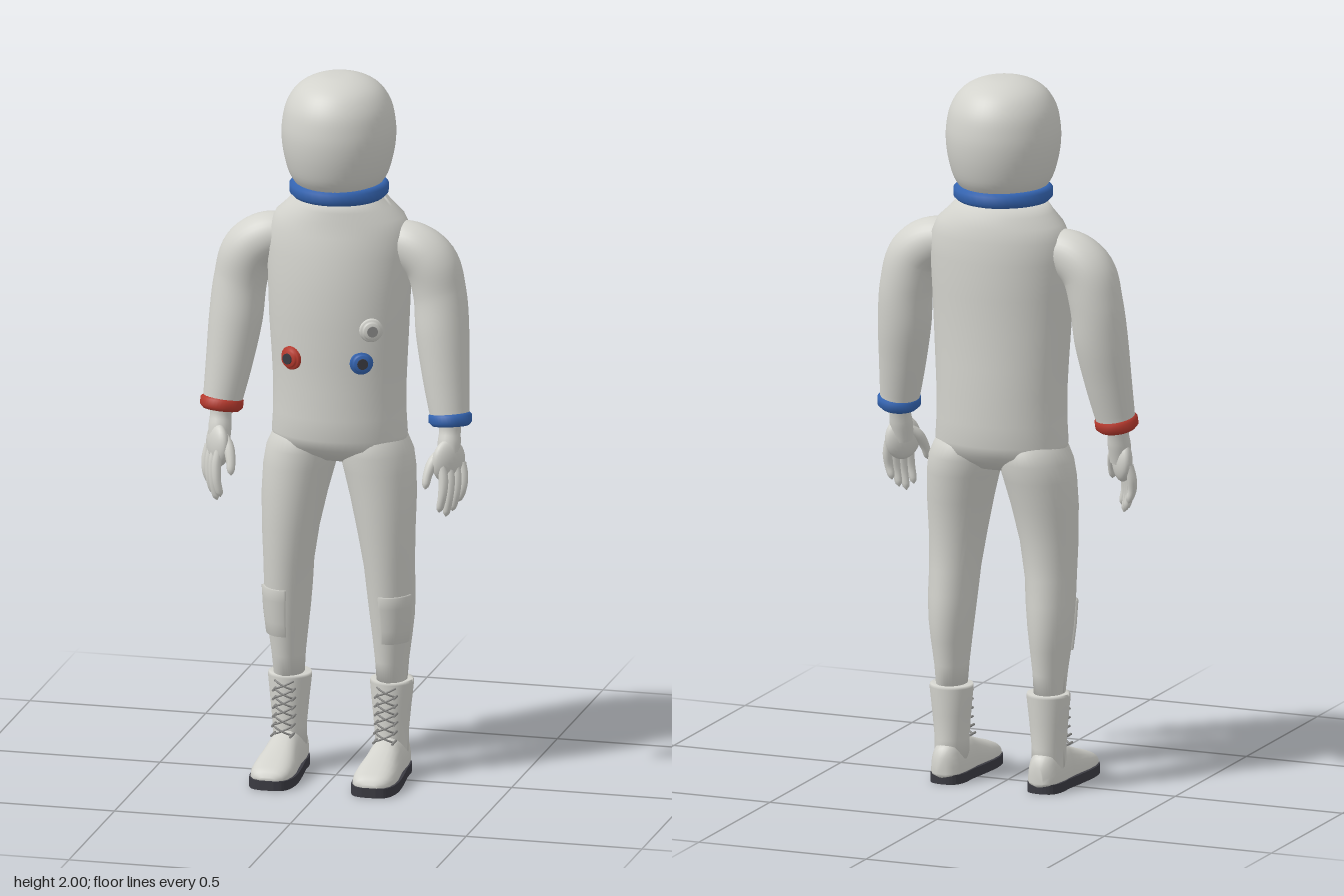
import * as THREE from 'three';
import { mergeVertices, mergeGeometries } from 'three/addons/utils/BufferGeometryUtils.js';

const V = (x, y, z) => new THREE.Vector3(x, y, z);
const mat = (name, color) => Object.assign(new THREE.MeshStandardMaterial({ color }), { name });

// Drop seams and compute smooth normals
function smooth(geo) {
  geo.deleteAttribute('uv');
  geo.deleteAttribute('normal');
  const g = mergeVertices(geo, 1e-5);
  g.computeVertexNormals();
  return g;
}

// Skin between rings of points; closed rings get end caps
function loft(rings, closed = true) {
  const n = rings[0].length, pts = rings.flat(), idx = [];
  for (let i = 0; i < rings.length - 1; i++) {
    for (let j = 0; j < (closed ? n : n - 1); j++) {
      const a = i * n + j, b = i * n + (j + 1) % n;
      idx.push(a, a + n, b, b, a + n, b + n);
    }
  }
  if (closed) {
    const last = (rings.length - 1) * n;
    for (let j = 1; j < n - 1; j++) idx.push(0, j, j + 1, last, last + j + 1, last + j);
  }
  const g = new THREE.BufferGeometry().setFromPoints(pts);
  g.setIndex(idx);
  g.computeVertexNormals();
  return g;
}

// Oval body section: [y, centre x, half width, front z, back z]
const ovalPoint = ([y, cx, hx, zf, zb], a, off = 0) =>
  V(cx + (hx + off) * Math.cos(a), y, (zf + zb) / 2 + ((zf - zb) / 2 + off) * Math.sin(a));
const oval = (s, n = 40) => Array.from({ length: n }, (_, j) => ovalPoint(s, (j / n) * Math.PI * 2));

// Tube of changing radius through [x, y, z, radius] stations
function limb(stations, segs = 30, sides = 20) {
  const curve = new THREE.CatmullRomCurve3(stations.map(s => V(s[0], s[1], s[2])));
  const radii = new THREE.CatmullRomCurve3(stations.map((s, i) => V(s[3], i, 0)));
  const g = new THREE.TubeGeometry(curve, segs, 1, sides);
  const p = g.attributes.position, nrm = g.attributes.normal;
  for (let i = 0; i <= segs; i++) {
    const c = curve.getPointAt(i / segs);
    const r = Math.max(0.001, radii.getPoint(curve.getUtoTmapping(i / segs)).x);
    for (let j = 0; j <= sides; j++) {
      const k = i * (sides + 1) + j;
      p.setXYZ(k, c.x + nrm.getX(k) * r, c.y + nrm.getY(k) * r, c.z + nrm.getZ(k) * r);
    }
  }
  return smooth(g);
}

// Rounded band around the y axis
function band(inner, outer, h) {
  const b = h * 0.25, m = h / 2;
  return new THREE.LatheGeometry([[inner, -m], [outer - b, -m], [outer, -m + b], [outer, m - b], [outer - b, m], [inner, m]]
    .map(([r, y]) => new THREE.Vector2(r, y)), 40);
}

function mirror(geo) {
  const g = geo.index ? geo.clone() : mergeVertices(geo);
  g.scale(-1, 1, 1);
  const ix = g.index;
  for (let i = 0; i < ix.count; i += 3) {
    const t = ix.getX(i);
    ix.setX(i, ix.getX(i + 1));
    ix.setX(i + 1, t);
  }
  return g;
}

export function createModel() {
  const model = new THREE.Group();
  model.name = 'astronaut';
  const suit = mat('suitWhite', 0xd3d3cd), blue = mat('blue', 0x3566b4), red = mat('red', 0xb83a2e);
  const sole = mat('soleDark', 0x3b3b42), grey = mat('grey', 0x8c8c8a);
  const patchMat = mat('patchWhite', 0xcfcfc9);
  patchMat.side = THREE.DoubleSide;

  const add = (name, geo, m) => {
    const mesh = new THREE.Mesh(geo, m);
    mesh.name = name;
    model.add(mesh);
    return mesh;
  };
  const pair = (name, geo, m, mRight = m) => {
    add(name + 'Left', geo, m);
    add(name + 'Right', mirror(geo), mRight);
  };

  // Helmet and neck ring
  const dome = new THREE.SplineCurve([[0.112, 1.685], [0.135, 1.72], [0.15, 1.77], [0.157, 1.82], [0.156, 1.865],
    [0.146, 1.915], [0.122, 1.957], [0.088, 1.983], [0.045, 1.997], [0, 2]].map(p => new THREE.Vector2(...p)));
  const helmet = new THREE.LatheGeometry(dome.getPoints(36).map(p => p.setX(Math.max(0, p.x))), 48);
  add('helmet', helmet.scale(1, 1, 1.07).translate(0, 0, -0.033), suit);
  add('neckRing', band(0.09, 0.137, 0.045).translate(0, 1.677, -0.035), blue);

  // Torso
  add('torso', loft([
    [0.905, 0, 0.1, 0.02, -0.12], [0.93, 0, 0.165, 0.062, -0.155], [0.95, 0, 0.187, 0.085, -0.175],
    [0.98, 0, 0.19, 0.098, -0.185], [1.04, 0, 0.186, 0.1, -0.187], [1.12, 0, 0.186, 0.1, -0.188],
    [1.2, 0, 0.19, 0.103, -0.188], [1.3, 0, 0.196, 0.108, -0.186], [1.4, 0, 0.2, 0.108, -0.19],
    [1.5, 0, 0.204, 0.1, -0.192], [1.56, 0, 0.2, 0.088, -0.188], [1.6, 0, 0.18, 0.081, -0.182],
    [1.63, 0, 0.148, 0.077, -0.172], [1.66, 0, 0.122, 0.07, -0.16]].map(s => oval(s, 56))), suit);

  // Legs
  const legs = [
    [0.26, 0.146, 0.041, 0, -0.105], [0.33, 0.147, 0.046, 0.012, -0.112], [0.4, 0.148, 0.054, 0.025, -0.124],
    [0.46, 0.148, 0.061, 0.033, -0.13], [0.53, 0.146, 0.066, 0.042, -0.129], [0.6, 0.143, 0.069, 0.05, -0.122],
    [0.7, 0.136, 0.079, 0.06, -0.122], [0.8, 0.126, 0.091, 0.066, -0.14], [0.88, 0.114, 0.1, 0.068, -0.156],
    [0.93, 0.103, 0.103, 0.07, -0.165], [0.97, 0.096, 0.092, 0.065, -0.16], [1.01, 0.09, 0.07, 0.04, -0.13]];
  pair('leg', loft(legs.map(s => oval(s))), suit);

  // Knee patches wrapped round the outer front of each leg
  const legAt = y => {
    const i = legs.findIndex(s => s[0] > y) - 1, t = (y - legs[i][0]) / (legs[i + 1][0] - legs[i][0]);
    return legs[i].map((v, k) => v + (legs[i + 1][k] - v) * t);
  };
  const rows = [0.39, 0.392, 0.43, 0.46, 0.495, 0.528, 0.53];
  pair('kneePatch', loft(rows.map((y, i) => Array.from({ length: 17 }, (_, j) => {
    const edge = i === 0 || i === rows.length - 1 || j === 0 || j === 16;
    const k = THREE.MathUtils.clamp(j, 1.1, 14.9) / 16;
    return ovalPoint(legAt(y), 0.25 + k * 1.65, edge ? -0.002 : 0.007);
  })), false), patchMat);

  // Boots: shaft, foot and sole
  pair('bootShaft', loft([[0.05, 0.145, 0.046, 0.01, -0.115], [0.12, 0.145, 0.046, 0.002, -0.11],
    [0.19, 0.145, 0.053, 0.002, -0.112], [0.266, 0.145, 0.061, 0.004, -0.118],
    [0.274, 0.145, 0.059, 0.002, -0.116]].map(s => oval(s))), suit);
  const foot = [[0.196, 0.022, 0.036], [0.188, 0.042, 0.05], [0.17, 0.054, 0.06], [0.14, 0.06, 0.071], [0.1, 0.06, 0.083],
    [0.05, 0.054, 0.1], [0.01, 0.05, 0.117], [-0.05, 0.049, 0.122], [-0.1, 0.043, 0.115], [-0.12, 0.032, 0.1], [-0.13, 0.014, 0.075]];
  pair('bootFoot', loft(foot.map(([z, hx, top]) => Array.from({ length: 28 }, (_, j) => {
    const a = (j / 28) * Math.PI * 2, c = Math.cos(a), s = Math.sin(a);
    return V(0.145 + hx * Math.sign(c) * Math.abs(c) ** 0.8, s > 0 ? 0.03 + (top - 0.03) * s ** 0.85 : 0.03 + 0.01 * s, z);
  }))), suit);
  const half = [[0.02, 0.2], [0.045, 0.19], [0.06, 0.16], [0.065, 0.11], [0.06, 0.04], [0.052, -0.03], [0.05, -0.08], [0.035, -0.115]];
  const outline = new THREE.SplineCurve([...half, [0, -0.125], ...half.map(([x, z]) => [-x, z]).reverse()]
    .map(([x, z]) => new THREE.Vector2(x, -z)));
  const soleGeo = new THREE.ExtrudeGeometry(new THREE.Shape(outline.getPoints(60)), { depth: 0.027, bevelEnabled: false });
  pair('sole', soleGeo.rotateX(-Math.PI / 2).translate(0.145, 0, 0), sole);

  // Crossed laces, with small hooks at the sides
  const laces = [];
  for (let i = 0; i < 6; i++) {
    const y = 0.112 + i * 0.025, z = 0.008 + 0.018 * Math.max(0, 1 - i / 2);
    for (const s of [-1, 1]) {
      const path = new THREE.QuadraticBezierCurve3(V(0.145 - s * 0.027, y, z), V(0.145, y + 0.012, z + 0.022), V(0.145 + s * 0.027, y + 0.025, z));
      laces.push(new THREE.TubeGeometry(path, 8, 0.0028, 6));
      const hook = new THREE.CylinderGeometry(0.0035, 0.0035, 0.04, 8).rotateX(Math.PI / 2);
      laces.push(hook.translate(0.145 + s * 0.027, y, z));
    }
  }
  pair('laces', mergeGeometries(laces), grey);

  // Arms and wrist rings
  pair('arm', limb([[0.12, 1.53, -0.05, 0.05], [0.2, 1.52, -0.046, 0.068], [0.258, 1.475, -0.046, 0.075],
    [0.283, 1.39, -0.047, 0.074], [0.294, 1.28, -0.036, 0.074], [0.308, 1.16, -0.019, 0.065],
    [0.322, 1.06, -0.004, 0.055], [0.326, 1.035, -0.001, 0.05], [0.329, 1.022, 0, 0.01]], 48, 32), suit);
  const tilt = new THREE.Quaternion().setFromUnitVectors(V(0, 1, 0), V(-0.08, 1, -0.16).normalize());
  pair('wristRing', band(0.03, 0.06, 0.04).applyQuaternion(tilt).translate(0.325, 1.045, -0.002), blue, red);

  // Gloves: wrist, palm, fingers and thumb
  pair('gloveWrist', limb([[0.325, 1.05, 0, 0.034], [0.326, 1.01, 0.006, 0.03], [0.326, 0.98, 0.014, 0.032], [0.326, 0.93, 0.026, 0.03]], 14, 18), suit);
  pair('palm', new THREE.SphereGeometry(1, 24, 16).scale(0.054, 0.062, 0.026).rotateY(0.9).translate(0.328, 0.932, 0.03), suit);
  const across = V(-0.62, 0, 0.78), reach = [0.035, 0.012, 0, 0.015];
  for (let i = 0; i < 4; i++) {
    const k = V(0.338, 0, 0.032).addScaledVector(across, (i - 1.5) * 0.023);
    const tip = 0.778 + reach[i];
    pair('finger' + (i + 1), limb([[k.x, 0.925, k.z, 0.012], [k.x + 0.006, 0.885, k.z + 0.006, 0.0135],
      [k.x + 0.004, (0.885 + tip) / 2, k.z + 0.012, 0.012], [k.x - 0.004, tip + 0.01, k.z + 0.01, 0.0095],
      [k.x - 0.006, tip, k.z + 0.009, 0.001]], 16, 10), suit);
  }
  pair('thumb', limb([[0.318, 0.965, 0.03, 0.014], [0.292, 0.935, 0.055, 0.016], [0.28, 0.9, 0.074, 0.013],
    [0.277, 0.872, 0.084, 0.01], [0.276, 0.862, 0.086, 0.001]], 16, 12), suit);

  // Chest hose connectors
  const port = (name, x, y, m) => {
    const g = new THREE.Group();
    g.name = name;
    const body = new THREE.LatheGeometry([[0.033, -0.02], [0.033, 0.006], [0.029, 0.01], [0.023, 0.01], [0.023, 0.018], [0, 0.018]]
      .map(p => new THREE.Vector2(...p)), 28);
    const parts = [[name + 'Body', body, m], [name + 'Socket', new THREE.CylinderGeometry(0.015, 0.015, 0.006, 24).translate(0, 0.019, 0), m === grey ? sole : m === suit ? grey : sole]];
    for (const [n, geo, mm] of parts) g.add(Object.assign(new THREE.Mesh(geo, mm), { name: n }));
    g.position.set(x, y, 0.078);
    g.quaternion.setFromUnitVectors(V(0, 1, 0), V(Math.sign(x) * 0.45, 0, 0.89).normalize());
    model.add(g);
  };
  port('redConnector', -0.105, 1.21, red);
  port('blueConnector', 0.092, 1.21, blue);
  port('whiteConnector', 0.12, 1.305, suit);

  return model;
}
